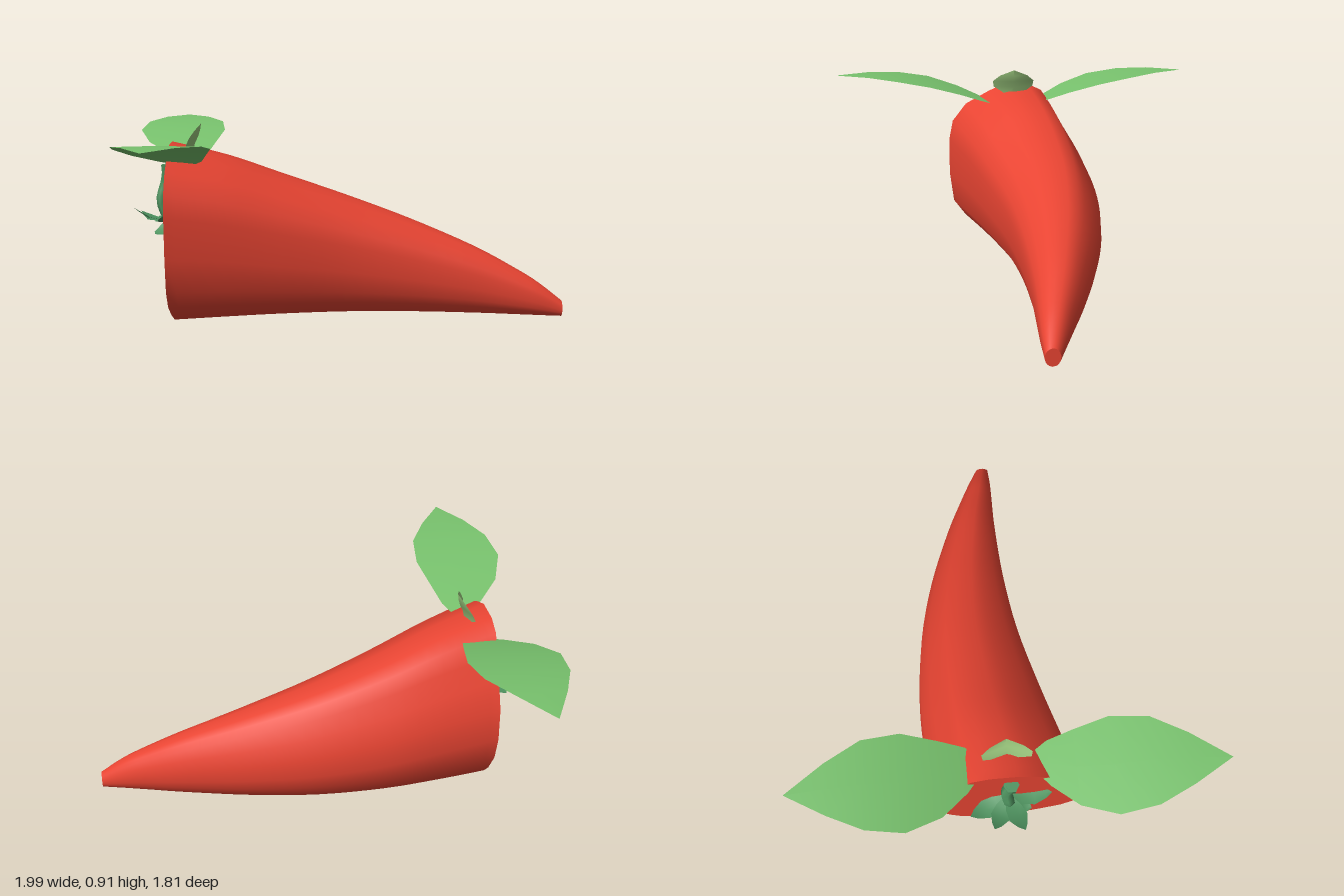
import * as THREE from 'three';

const mat = (color) => new THREE.MeshStandardMaterial({ color, side: THREE.DoubleSide });
const red = mat(0xe84432), leafGreen = mat(0x78c26d), paleGreen = mat(0x9cc97e), darkGreen = mat(0x4f9460);
const V = (x, y, z) => new THREE.Vector3(x, y, z);

function buildGeometry(pos, idx) {
  const g = new THREE.BufferGeometry();
  g.setAttribute('position', new THREE.Float32BufferAttribute(pos, 3));
  g.setIndex(idx);
  g.computeVertexNormals();
  return g;
}

// Body: a lumpy base outline that blends to a round tip along x
function bodyGeometry() {
  // base outline as [z, y]
  const base = [[0.33, 0.35], [0.33, 0.53], [0.31, 0.63], [0.24, 0.72], [0.12, 0.785], [0.04, 0.82], [-0.08, 0.82],
    [-0.155, 0.785], [-0.2, 0.7], [-0.26, 0.6], [-0.32, 0.48], [-0.34, 0.33], [-0.32, 0.21], [-0.26, 0.1],
    [-0.21, 0.04], [-0.15, 0.005], [0.03, 0.005], [0.15, 0.06], [0.25, 0.12], [0.31, 0.2]];
  // stations: x, top y, back z, front z
  const stations = [[-0.8, 0.82, -0.34, 0.33], [-0.55, 0.755, -0.357, 0.257], [-0.3, 0.665, -0.365, 0.19],
    [0, 0.56, -0.34, 0.122], [0.3, 0.45, -0.272, 0.085], [0.6, 0.325, -0.17, 0.07], [0.8, 0.22, -0.088, 0.07],
    [0.9, 0.158, -0.045, 0.07], [1, 0.08, 0, 0.065]];
  const channel = (k) => new THREE.SplineCurve(stations.map((s) => new THREE.Vector2(s[0], s[k])));
  const [top, back, front] = [1, 2, 3].map(channel);
  const rows = 32, n = base.length, pos = [], idx = [];
  for (let i = 0; i <= rows; i++) {
    const u = i / rows, p = top.getPoint(u), x = p.x, y0 = 0.005;
    const z0 = back.getPoint(u).y, z1 = front.getPoint(u).y;
    const blend = THREE.MathUtils.smoothstep(x, -0.8, 1);
    for (const [bz, by] of base) {
      const nz = (bz + 0.005) / 0.335, ny = (by - 0.4125) / 0.4075;
      const a = Math.atan2(ny, nz);
      const cz = THREE.MathUtils.lerp(nz, Math.cos(a), blend);
      const cy = THREE.MathUtils.lerp(ny, Math.sin(a), blend);
      pos.push(x, (p.y + y0) / 2 + cy * (p.y - y0) / 2, (z0 + z1) / 2 + cz * (z1 - z0) / 2);
    }
  }
  for (let i = 0; i < rows; i++) for (let j = 0; j < n; j++) {
    const a = i * n + j, b = i * n + (j + 1) % n;
    idx.push(a, a + n, b, b, a + n, b + n);
  }
  // flat end caps with their own vertices
  for (const [row, flip] of [[0, false], [rows, true]]) {
    const s = pos.length / 3, ring = pos.slice(row * n * 3, (row + 1) * n * 3);
    pos.push(...ring);
    let cy = 0, cz = 0;
    for (let j = 0; j < n; j++) { cy += ring[j * 3 + 1] / n; cz += ring[j * 3 + 2] / n; }
    pos.push(ring[0], cy, cz);
    for (let j = 0; j < n; j++) {
      const k = (j + 1) % n;
      idx.push(s + n, s + (flip ? k : j), s + (flip ? j : k));
    }
  }
  return buildGeometry(pos, idx);
}

// Leaf: rows of edge, midrib, edge; `fold` moves the edges away from the midrib
function leafGeometry(spine, widths, across, fold) {
  const pos = [], idx = [];
  spine.forEach((p, i) => {
    for (const s of [-1, 0, 1]) {
      const q = p.clone().addScaledVector(across, s * widths[i]);
      if (s) q.addScaledVector(fold, widths[i]);
      pos.push(q.x, q.y, q.z);
    }
    if (i) for (let k = 0; k < 2; k++) {
      const a = (i - 1) * 3 + k;
      idx.push(a, a + 1, a + 3, a + 1, a + 4, a + 3);
    }
  });
  return buildGeometry(pos, idx);
}

export function createModel() {
  const model = new THREE.Group();
  const add = (name, geometry, material, parent = model) => {
    const m = new THREE.Mesh(geometry, material);
    m.name = name;
    parent.add(m);
    return m;
  };
  add('body', bodyGeometry(), red);

  // Two large side leaves, arching outwards
  const big = [[-0.71, 0.725, 0.08, 0.01], [-0.74, 0.76, 0.17, 0.095], [-0.775, 0.8, 0.28, 0.158],
    [-0.787, 0.845, 0.43, 0.203], [-0.787, 0.872, 0.59, 0.182], [-0.795, 0.882, 0.74, 0.105], [-0.805, 0.878, 0.905, 0]];
  for (const [name, side] of [['frontLeaf', 1], ['backLeaf', -1]]) {
    add(name, leafGeometry(big.map(([x, y, z]) => V(x, y, z * side)), big.map((r) => r[3]),
      V(1, 0, 0), V(0, -0.02, 0)), leafGreen);
  }

  // Small upright leaf on top
  add('topLeaf', leafGeometry(
    [V(-0.7, 0.775, 0), V(-0.69, 0.82, 0), V(-0.675, 0.85, 0), V(-0.665, 0.88, 0), V(-0.66, 0.91, 0)],
    [0.03, 0.1, 0.105, 0.07, 0], V(0, 0, 1), V(-0.3, 0, 0)), paleGreen);

  // Stalk and ring of small leaves on the flat end
  const calyx = new THREE.Group();
  calyx.name = 'calyx';
  model.add(calyx);
  const stalk = new THREE.CatmullRomCurve3([V(-0.81, 0.72, 0.01), V(-0.825, 0.64, -0.01), V(-0.845, 0.56, 0), V(-0.82, 0.48, 0)]);
  add('stalk', new THREE.TubeGeometry(stalk, 8, 0.026, 6), darkGreen, calyx);
  add('stalkTip', new THREE.CylinderGeometry(0.034, 0.03, 0.05, 6).translate(-0.812, 0.7, 0.01), darkGreen, calyx);
  const root = V(-0.81, 0.48, 0);
  const tips = [V(-0.97, 0.54, 0.06), V(-0.95, 0.5, -0.07), V(-0.88, 0.46, -0.17),
    V(-0.86, 0.42, 0.1), V(-0.815, 0.41, -0.1), V(-0.815, 0.52, 0.19)];
  for (const tip of tips) {
    const along = tip.clone().sub(root);
    const across = V(0, 1, 0).cross(along).normalize();
    const spine = [0, 0.3, 0.6, 0.85, 1].map((t) =>
      root.clone().addScaledVector(along, t).add(V(0, -0.05 * Math.sin(Math.PI * t) * 0.6, 0)));
    add('calyxLeaf', leafGeometry(spine, [0.01, 0.035, 0.042, 0.022, 0], across, V(0, 0.15, 0)), darkGreen, calyx);
  }
  return model;
}
